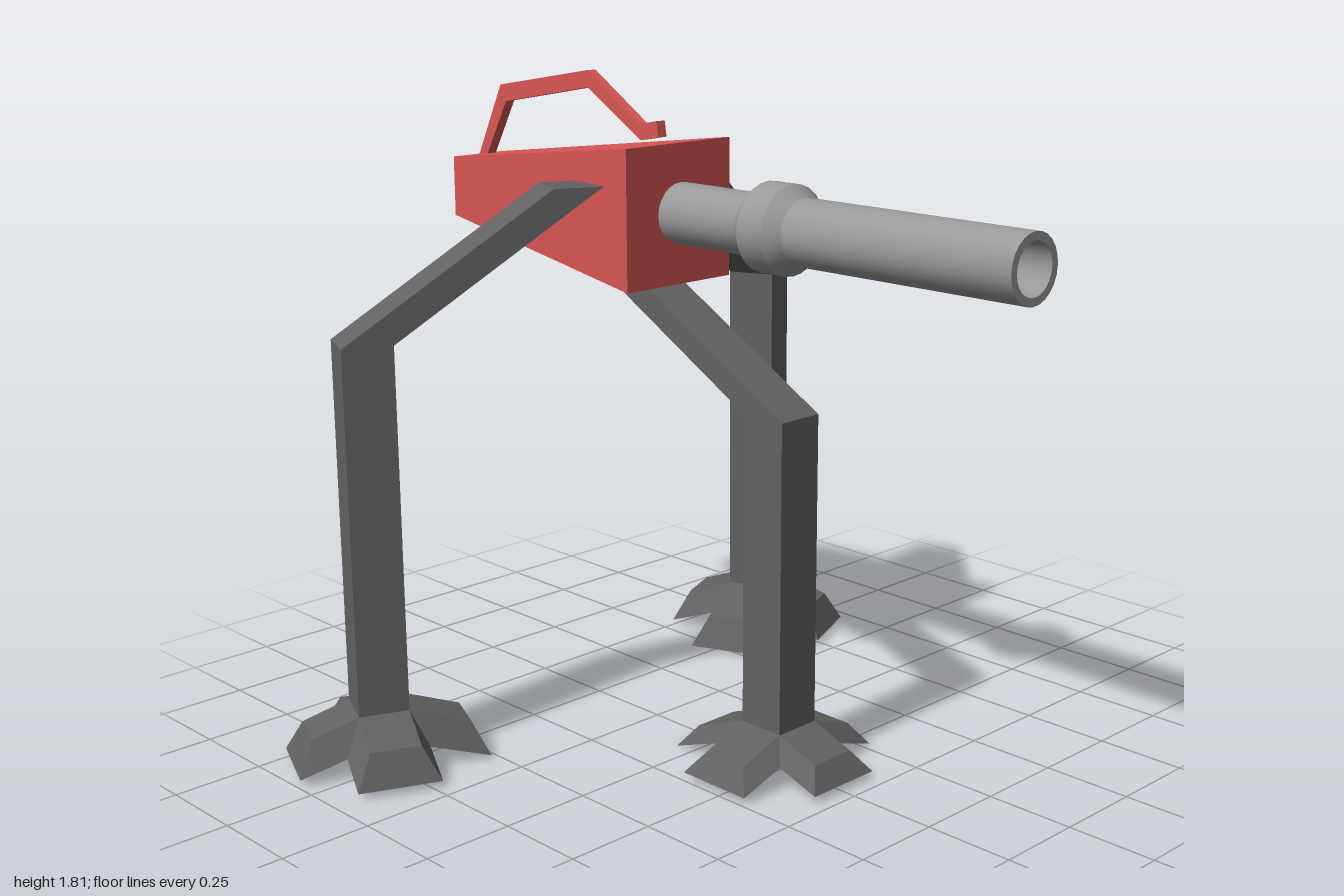
import * as THREE from 'three';
import { toCreasedNormals } from 'three/addons/utils/BufferGeometryUtils.js';

const red = new THREE.MeshStandardMaterial({ color: 0xd95555 });
const steel = new THREE.MeshStandardMaterial({ color: 0x999999 });
const dark = new THREE.MeshStandardMaterial({ color: 0x626262 });

// Solid through a row of rings; each ring runs counter-clockwise seen from the last ring's side
function loft(rings) {
  const pos = [], n = rings[0].length;
  const tri = (...pts) => pts.forEach(p => pos.push(...p));
  for (let r = 0; r < rings.length - 1; r++) {
    const a = rings[r], b = rings[r + 1];
    for (let i = 0; i < n; i++) {
      const j = (i + 1) % n;
      tri(a[i], a[j], b[j]);
      tri(a[i], b[j], b[i]);
    }
  }
  const s = rings[0], e = rings[rings.length - 1];
  for (let i = 1; i < n - 1; i++) {
    tri(s[0], s[i + 1], s[i]);
    tri(e[0], e[i], e[i + 1]);
  }
  const g = new THREE.BufferGeometry();
  g.setAttribute('position', new THREE.Float32BufferAttribute(pos, 3));
  g.computeVertexNormals();
  return g;
}

function part(name, geometry, material) {
  const m = new THREE.Mesh(geometry, material);
  m.name = name;
  return m;
}

// Horizontal square of half width w at height y, shifted along z
const square = (w, y, z = 0) => [[w, y, z + w], [w, y, z - w], [-w, y, z - w], [-w, y, z + w]];
// Upright rectangle facing +z
const upright = (w, y0, y1, z) => [[-w, y0, z], [w, y0, z], [w, y1, z], [-w, y1, z]];

const TOP = 0.068, BASE = 0.112; // foot hub half widths

// One toe: trapezoid section pushed outward and down along +z
function toe(h, reach, tipY) {
  const ring = (zLow, yLow, zTop, yTop) =>
    [[-BASE, yLow, zLow], [BASE, yLow, zLow], [TOP, yTop, zTop], [-TOP, yTop, zTop]];
  return loft([ring(BASE, 0.06, TOP, h), ring(reach, tipY, reach - 0.042, tipY + h - 0.065)]);
}

// Leg pointing outward along its own +z, with the beam leaning back to the body
function leg(name, { footTop, knee, top, lean, innerTip }) {
  const g = new THREE.Group();
  g.name = name;
  g.add(part('legPost', loft([square(TOP, footTop - 0.02), square(TOP, knee), square(TOP, top, -lean)]), dark));
  g.add(part('footHub', loft([square(BASE, 0.06), square(TOP, footTop)]), dark));
  const toes = [[0.238, 0.02], [0.245, 0.018], [0.278, innerTip], [0.245, 0.018]];
  toes.forEach(([reach, tipY], i) => {
    const t = part('toe', toe(footTop, reach, tipY), dark);
    t.rotation.y = i * Math.PI / 2;
    g.add(t);
  });
  return g;
}

export function createModel() {
  const model = new THREE.Group();
  model.name = 'tripodCannon';

  // Tapered body
  model.add(part('body', loft([upright(0.088, 1.365, 1.535, -1), upright(0.187, 1.265, 1.64, -0.15)]), red));

  // Bent carrying handle, outlined in side view as [-z, y]
  const outline = [[0.21, 1.65], [0.28, 1.637], [0.49, 1.762], [0.842, 1.7], [0.94, 1.53],
    [0.975, 1.53], [0.865, 1.745], [0.49, 1.808], [0.285, 1.68], [0.217, 1.692]];
  const handle = part('handle', new THREE.ExtrudeGeometry(
    new THREE.Shape(outline.map(p => new THREE.Vector2(...p))), { depth: 0.03, bevelEnabled: false }), red);
  handle.rotation.y = Math.PI / 2;
  handle.position.x = -0.017;
  model.add(handle);

  // Hollow barrel with a chamfered collar
  const profile = [[0, -0.2], [0.082, -0.2], [0.082, 0.13], [0.117, 0.17], [0.117, 0.255], [0.087, 0.295],
    [0.087, 1], [0.066, 1], [0.066, 0.7], [0, 0.7]].map(p => new THREE.Vector2(...p));
  const barrel = part('barrel', toCreasedNormals(new THREE.LatheGeometry(profile, 24), 0.5), steel);
  barrel.rotation.x = Math.PI / 2;
  barrel.position.set(0.007, 1.455, 0);
  model.add(barrel);

  // One leg in front, a mirrored pair behind
  const front = leg('frontLeg', { footTop: 0.125, knee: 0.975, top: 1.335, lean: 0.64, innerTip: 0 });
  front.position.set(0.004, 0, 0.222);
  model.add(front);
  for (const side of [1, -1]) {
    const rear = leg(side > 0 ? 'rearLeftLeg' : 'rearRightLeg',
      { footTop: 0.155, knee: 1.155, top: 1.533, lean: 0.568, innerTip: 0.008 });
    rear.position.set(side * 0.732, 0, -0.565);
    rear.rotation.y = side * THREE.MathUtils.degToRad(113.5);
    model.add(rear);
  }
  return model;
}
